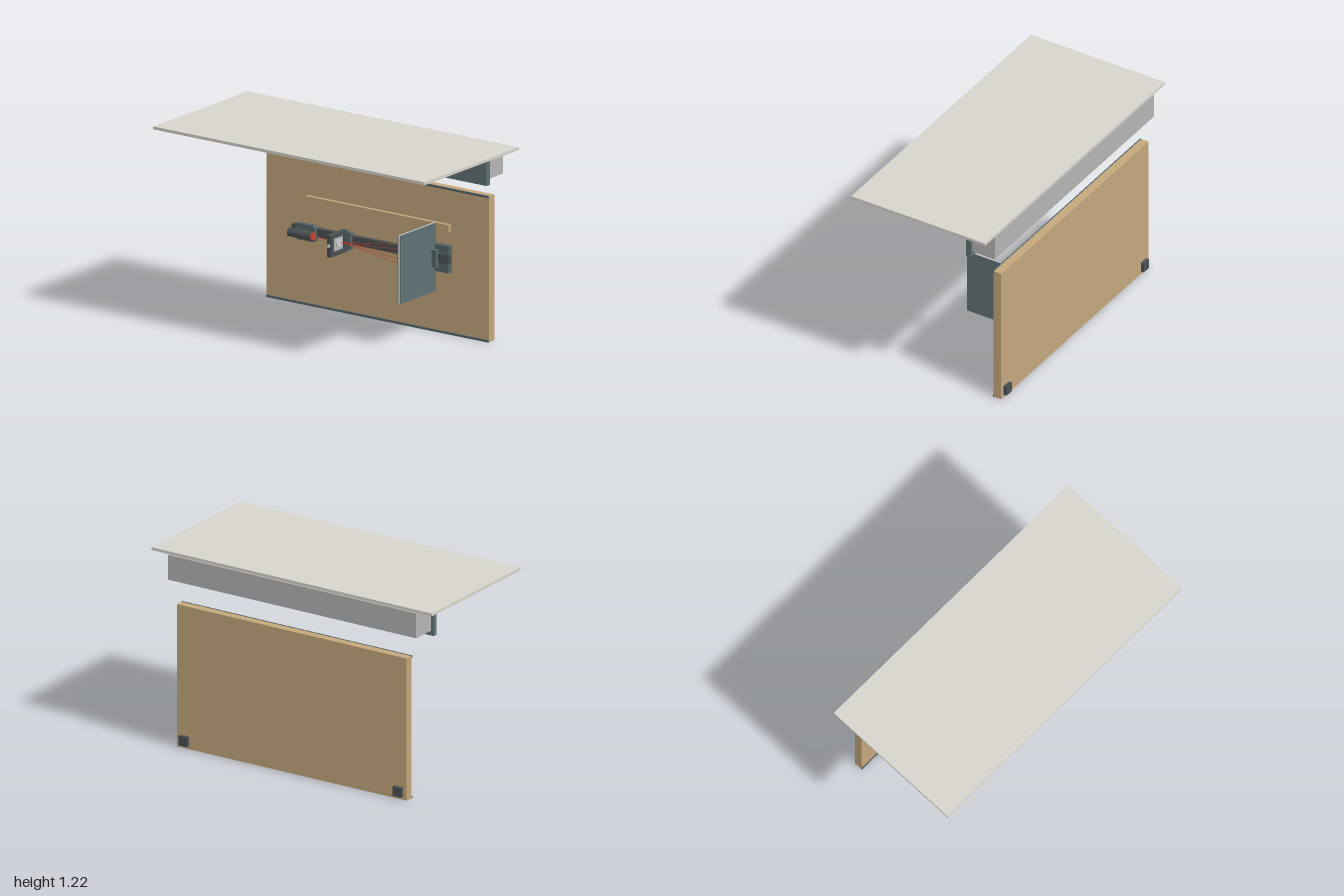
import * as THREE from 'three';

const mat = (color) => new THREE.MeshStandardMaterial({ color });
const M = {
  canopy: mat(0xd6d4cc), wood: mat(0xc4a67c), slate: mat(0x5f7174), dark: mat(0x4a5052),
  steel: mat(0x56676b), grey: mat(0xb4b4b4), light: mat(0xdcdcd8), blue: mat(0x4a6a98), red: mat(0xc8402c),
};

export function createModel() {
  const root = new THREE.Group();

  const add = (name, geometry, material, parent = root) => {
    const mesh = new THREE.Mesh(geometry, material);
    mesh.name = name;
    parent.add(mesh);
    return mesh;
  };
  // Box given by its limits on each axis
  const box = (name, material, [x0, x1], [y0, y1], [z0, z1], parent) => {
    const mesh = add(name, new THREE.BoxGeometry(x1 - x0, y1 - y0, z1 - z0), material, parent);
    mesh.position.set((x0 + x1) / 2, (y0 + y1) / 2, (z0 + z1) / 2);
    return mesh;
  };
  // Round rod between two points
  const rod = (name, material, a, b, r, sides = 24, parent = root) => {
    const from = new THREE.Vector3(...a), dir = new THREE.Vector3(...b).sub(from);
    const mesh = add(name, new THREE.CylinderGeometry(r, r, dir.length(), sides), material, parent);
    mesh.position.copy(from).addScaledVector(dir, 0.5);
    mesh.quaternion.setFromUnitVectors(new THREE.Vector3(0, 1, 0), dir.normalize());
    return mesh;
  };

  // Overhead slab
  box('canopy', M.canopy, [-1, 1], [1.204, 1.222], [-0.457, 0.478]);

  // Back housing with its front valance
  box('housing', M.grey, [-0.885, 0.885], [1.04, 1.197], [-0.453, -0.298]);
  box('valance', M.slate, [-0.905, 0.905], [1.01, 1.192], [-0.298, -0.266]);
  for (let i = -2; i <= 2; i++) {
    box('undersidePanel', M.grey, [i * 0.35 - 0.15, i * 0.35 + 0.15], [1.035, 1.041], [-0.43, -0.302]);
  }
  // Small blue modules in two rows under the housing
  for (const z of [[-0.33, -0.302], [-0.382, -0.345]]) {
    for (let i = 0; i < 4; i++) {
      const x = -0.4 + i * 0.065;
      box('blueModule', M.blue, [x, x + 0.05], [1.027, 1.036], z);
    }
  }

  // Light rail with five lamps
  box('lightRail', M.light, [-0.89, 0.89], [1.186, 1.204], [-0.158, -0.124]);
  for (let i = -2; i <= 2; i++) {
    const x = i * 0.245;
    box('lampHousing', M.grey, [x - 0.042, x + 0.042], [1.178, 1.187], [-0.152, -0.13]);
    box('lampLens', M.dark, [x - 0.028, x + 0.028], [1.171, 1.179], [-0.146, -0.136]);
  }

  // Upright board with edge strips and rear feet
  box('board', M.wood, [-0.82, 0.82], [0.002, 0.9], [-0.457, -0.404]);
  box('bottomStrip', M.steel, [-0.82, 0.82], [0, 0.014], [-0.405, -0.398]);
  box('topStrip', M.steel, [-0.82, 0.82], [0.889, 0.902], [-0.405, -0.398]);
  for (const s of [-1, 1]) {
    box('rearFoot', M.dark, [s * 0.763 - 0.03, s * 0.763 + 0.03], [0.02, 0.081], [-0.478, -0.456]);
  }
  box('woodenRuler', M.wood, [-0.495, 0.563], [0.648, 0.69], [-0.374, -0.35]);

  // Optical bench: rail and the carriages on it
  const bench = new THREE.Group();
  bench.name = 'opticalBench';
  root.add(bench);
  box('benchRail', M.dark, [-0.58, 0.577], [0.455, 0.51], [-0.36, -0.328], bench);
  box('benchBase', M.steel, [0.35, 0.567], [0.395, 0.562], [-0.375, -0.343], bench);
  box('screenCarriage', M.steel, [0.41, 0.502], [0.427, 0.533], [-0.337, -0.304], bench);
  box('lensCarriage', M.steel, [-0.221, -0.13], [0.427, 0.533], [-0.337, -0.304], bench);

  // Chamfered cradle behind the laser tube
  const cradle = new THREE.Shape();
  cradle.moveTo(-0.52, 0.43).lineTo(-0.405, 0.43).lineTo(-0.39, 0.445).lineTo(-0.39, 0.515)
    .lineTo(-0.405, 0.53).lineTo(-0.52, 0.53).lineTo(-0.535, 0.515).lineTo(-0.535, 0.445);
  add('laserCradle', new THREE.ExtrudeGeometry(cradle, { depth: 0.033, bevelEnabled: false }),
    M.steel, bench).position.z = -0.337;

  // Laser tube with a red tip
  const axisY = 0.481, axisZ = -0.262;
  box('laserPost', M.dark, [-0.5, -0.42], [0.465, 0.497], [-0.306, -0.27], bench);
  rod('laserTube', M.dark, [-0.545, axisY, axisZ], [-0.375, axisY, axisZ], 0.027, 32, bench);
  rod('laserTip', M.red, [-0.375, axisY, axisZ], [-0.368, axisY, axisZ], 0.024, 32, bench);

  // Lens frame: square plate with a window, standing across the rail
  const frame = new THREE.Shape();
  frame.moveTo(-0.082, -0.068).lineTo(0.082, -0.068).lineTo(0.082, 0.068).lineTo(-0.082, 0.068);
  const hole = new THREE.Path();
  hole.moveTo(-0.052, -0.042).lineTo(-0.052, 0.042).lineTo(0.052, 0.042).lineTo(0.052, -0.042);
  frame.holes.push(hole);
  const lensFrame = add('lensFrame', new THREE.ExtrudeGeometry(frame, { depth: 0.03, bevelEnabled: false }), M.dark, bench);
  lensFrame.rotation.y = Math.PI / 2;
  lensFrame.position.set(-0.19, 0.479, -0.237);
  box('lensPlate', M.grey, [-0.18, -0.17], [0.436, 0.522], [-0.29, -0.184], bench);
  rod('lens', M.light, [-0.186, axisY, -0.245], [-0.164, axisY, -0.245], 0.026, 32, bench);
  rod('frameKnob', M.light, [-0.175, axisY, -0.16], [-0.175, axisY, -0.145], 0.01, 20, bench);

  // Beam to the lens and rays fanning out to the screen
  rod('beam', M.red, [-0.37, axisY, axisZ], [-0.186, axisY, axisZ], 0.002, 6, bench);
  for (let i = -2; i <= 2; i++) {
    rod('ray', M.red, [-0.165, axisY, axisZ], [0.45, axisY + i * 0.042, axisZ], 0.0015, 6, bench);
  }

  // Projection screen: light core between two slate faces
  box('screenCore', M.light, [0.453, 0.465], [0.27, 0.69], [-0.349, 0.003], bench);
  box('screenFace', M.slate, [0.465, 0.469], [0.27, 0.69], [-0.349, 0.003], bench);
  box('screenFace', M.slate, [0.449, 0.453], [0.27, 0.69], [-0.349, 0.003], bench);

  return root;
}
